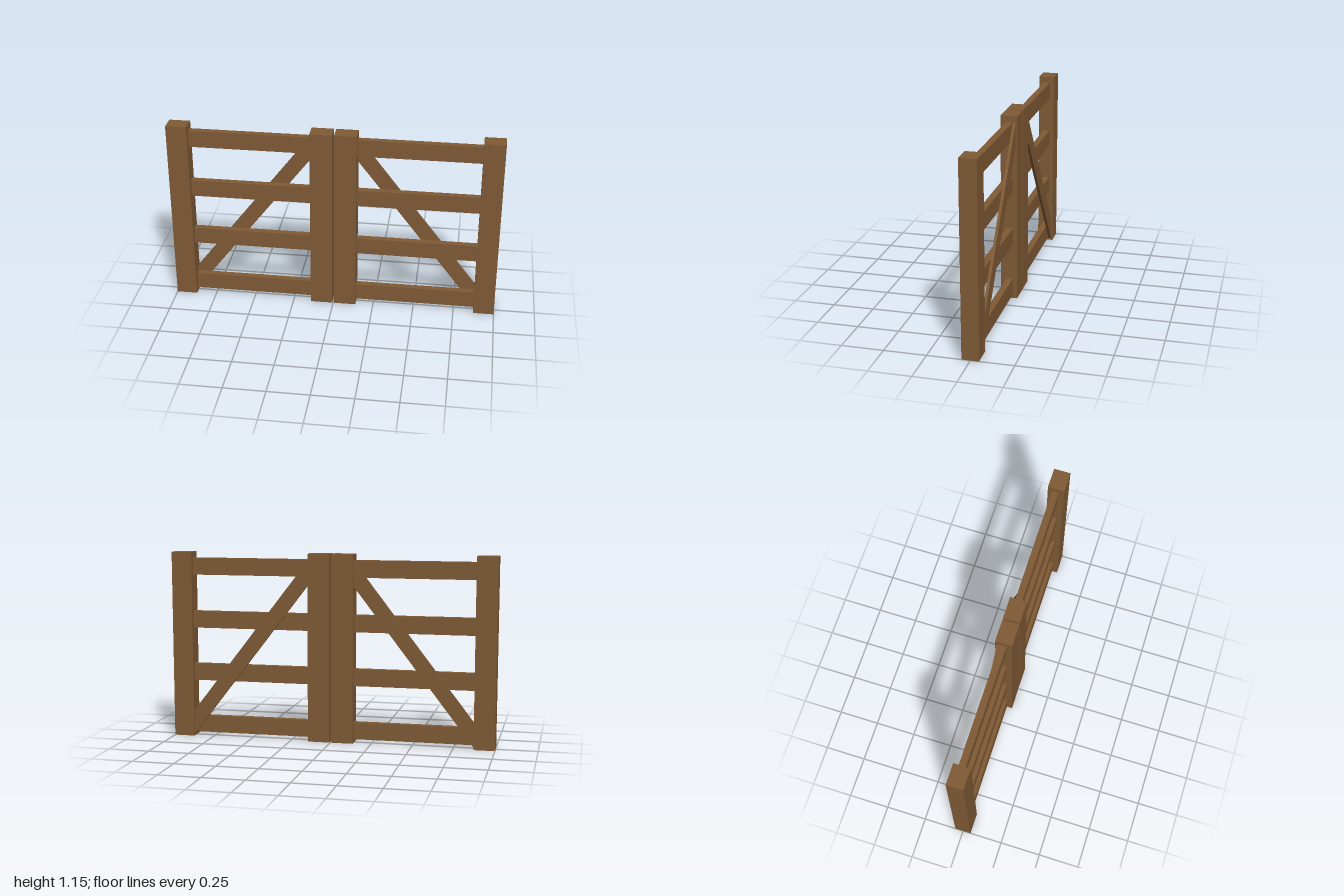
import * as THREE from 'three';

export function createModel() {
  const group = new THREE.Group();
  group.name = 'doubleGate';
  const wood = new THREE.MeshStandardMaterial({ color: 0x7f5a35 });
  wood.name = 'brown wood';

  // Box given by its extents on each axis
  function beam(parent, name, x0, x1, y0, y1, z0, z1) {
    const mesh = new THREE.Mesh(new THREE.BoxGeometry(x1 - x0, y1 - y0, z1 - z0), wood);
    mesh.position.set((x0 + x1) / 2, (y0 + y1) / 2, (z0 + z1) / 2);
    mesh.name = name;
    parent.add(mesh);
    return mesh;
  }

  for (const side of [1, -1]) {
    const leaf = new THREE.Group();
    leaf.name = side > 0 ? 'leftLeaf' : 'rightLeaf';
    const span = (name, a, b, ...rest) =>
      beam(leaf, name, Math.min(side * a, side * b), Math.max(side * a, side * b), ...rest);

    // Upright posts
    span('innerPost', 0.006, 0.14, 0, 1.15, -0.05, 0.05);
    span('outerPost', 0.873, 1, 0, 1.15, -0.05, 0.05);

    // Four horizontal rails
    for (let i = 0; i < 4; i++) {
      const y = 0.075 + i * 0.329;
      span('rail', 0.13, 0.883, y - 0.052, y + 0.052, -0.023, 0.017);
    }

    // Diagonal brace behind the rails, its ends let into the posts
    const top = new THREE.Vector2(0.1, 1.087), foot = new THREE.Vector2(0.91, 0.038);
    const length = top.distanceTo(foot);
    const brace = beam(leaf, 'brace', -length / 2, length / 2, -0.0455, 0.0455, -0.04, -0.023);
    brace.position.x = side * (top.x + foot.x) / 2;
    brace.position.y = (top.y + foot.y) / 2;
    brace.rotation.z = side * Math.atan2(foot.y - top.y, foot.x - top.x);

    group.add(leaf);
  }
  return group;
}
